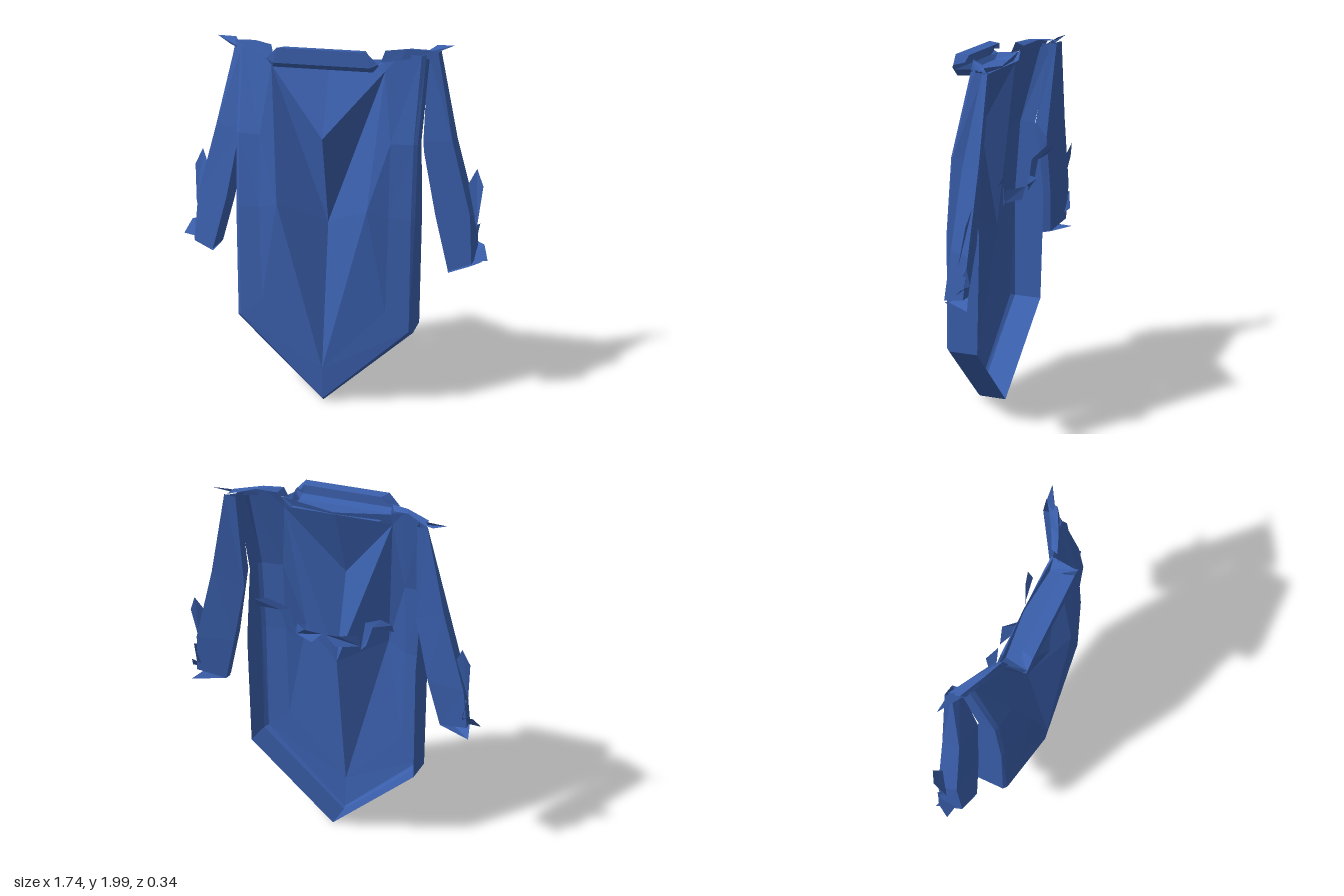
import * as THREE from 'three';

const cloth = new THREE.MeshStandardMaterial({ color: 0x3a5fac });
cloth.name = 'blueCloth';
cloth.flatShading = true;
cloth.side = THREE.DoubleSide;

// Mesh from triangles given as triples of points
function facets(name, tris) {
  const geo = new THREE.BufferGeometry();
  geo.setAttribute('position', new THREE.Float32BufferAttribute(tris.flat(2), 3));
  geo.computeVertexNormals();
  const mesh = new THREE.Mesh(geo, cloth);
  mesh.name = name;
  return mesh;
}

// Triangles of a sheet stretched between neighbouring rails of equal length
function sheet(rails, closed = false) {
  const tris = [];
  const n = closed ? rails.length : rails.length - 1;
  for (let r = 0; r < n; r++) {
    const a = rails[r], b = rails[(r + 1) % rails.length];
    for (let i = 0; i + 1 < a.length; i++) {
      tris.push([a[i], b[i], b[i + 1]], [a[i], b[i + 1], a[i + 1]]);
    }
  }
  return tris;
}

// Fan of triangles over an outline
const fan = (p) => p.slice(2).map((q, i) => [p[0], p[i + 1], q]);

// Mirror triangles in x, keeping the winding
const mirror = (tris) => tris.map((t) => t.map(([x, y, z]) => [-x, y, z]).reverse());

export function createModel() {
  const model = new THREE.Group();
  model.name = 'tabard';
  const addPair = (name, tris) => {
    model.add(facets(name + 'Left', tris), facets(name + 'Right', mirror(tris)));
  };

  // Border: raised rim, bevel and side wall, from the lower tip to the shoulder
  const tip = [0, 0.2, 0.16], hip = [0.35, 0.57, 0.14], waist = [0.36, 1.1, 0.135];
  const side = [0.36, 1.5, 0.11], shoulder = [0.39, 1.96, 0];
  addPair('border', sheet([
    [tip, hip, waist, side, shoulder],
    [[0, 0.015, 0.15], [0.48, 0.46, 0.13], [0.48, 1.1, 0.125], [0.48, 1.5, 0.095], [0.49, 1.95, -0.02]],
    [[0, 0, 0.135], [0.5, 0.45, 0.11], [0.5, 1.1, 0.11], [0.5, 1.5, 0.08], [0.51, 1.95, -0.04]],
    [[0, 0, -0.02], [0.5, 0.45, -0.05], [0.5, 1.1, -0.065], [0.5, 1.5, -0.01], [0.52, 1.95, -0.1]],
  ]));

  // Folded chest panel
  const neck = [0.31, 1.87, 0.04], chest = [0, 1.51, 0.15], hollow = [0, 1.02, 0.03];
  const ridge = [0.25, 1.14, 0.17], top = [0, 1.9, 0], collarEnd = [0.3, 1.93, 0.02];
  addPair('chestPanel', [
    [tip, hip, ridge], [hip, waist, ridge], [waist, side, ridge], [side, neck, ridge],
    [neck, hollow, ridge], [hollow, tip, ridge], [neck, chest, hollow], [neck, top, chest],
    [side, shoulder, neck], [neck, shoulder, collarEnd], [neck, collarEnd, top],
  ]);

  // Collar: floor, front plate and folded lip
  const rail = (xo, yo, zo, xi, yi, zi) =>
    [[-xo, yo, zo], [-xi, yi, zi], [xi, yi, zi], [xo, yo, zo]];
  model.add(facets('collar', sheet([
    rail(0.31, 1.93, 0.01, 0.25, 1.89, 0),
    rail(0.3, 1.92, 0.14, 0.27, 1.885, 0.145),
    rail(0.3, 1.93, 0.16, 0.26, 1.91, 0.167),
    rail(0.29, 1.94, 0.16, 0.24, 1.99, 0.165),
    rail(0.25, 1.95, 0.11, 0.22, 1.985, 0.1),
  ])));

  // Shoulder caps
  addPair('shoulderCap', sheet([
    [[0.29, 1.92, 0.06], [0.39, 1.93, 0.02], [0.53, 1.93, -0.05]],
    [[0.31, 1.98, 0.04], [0.41, 1.985, 0], [0.55, 1.97, -0.07]],
    [[0.33, 1.96, 0], [0.43, 1.98, -0.05], [0.56, 1.96, -0.13]],
  ]));

  // Sleeves: four-sided tubes that widen toward the cuff
  addPair('sleeve', sheet([
    [[0.51, 1.96, -0.09], [0.51, 1.5, -0.01], [0.59, 1.1, 0.02], [0.67, 0.8, 0.04]],
    [[0.56, 1.95, -0.11], [0.66, 1.5, -0.04], [0.77, 1.1, -0.02], [0.79, 0.84, 0.01]],
    [[0.57, 1.96, -0.14], [0.67, 1.5, -0.13], [0.79, 1.08, -0.12], [0.81, 0.86, -0.1]],
    [[0.51, 1.95, -0.13], [0.5, 1.42, -0.08], [0.575, 1.08, -0.08], [0.645, 0.82, -0.06]],
  ], true));

  // Cuff underside
  addPair('cuff', fan([[0.67, 0.79, 0.04], [0.79, 0.83, 0.01], [0.83, 0.81, -0.13], [0.645, 0.82, -0.06]]));

  // Torn flaps on the sleeve and cuff
  addPair('elbowFlap', fan([
    [0.8, 1.02, -0.07], [0.82, 1.24, -0.12], [0.78, 1.33, -0.14], [0.73, 1.23, -0.1],
  ]));
  addPair('cuffFlap', fan([
    [0.76, 0.84, -0.02], [0.87, 0.85, -0.04], [0.84, 0.92, -0.1], [0.79, 0.93, -0.13], [0.81, 1.03, -0.12],
    [0.74, 1.02, -0.04],
  ]));

  // Torn shoulder tips
  model.add(
    facets('shoulderTipRight', fan([[-0.5, 1.93, -0.04], [-0.56, 1.98, -0.12], [-0.67, 1.98, -0.13], [-0.58, 1.94, -0.09]])),
    facets('shoulderTipLeft', fan([[0.5, 1.96, -0.06], [0.55, 1.99, -0.13], [0.64, 1.99, -0.14], [0.56, 1.96, -0.09]])),
  );

  // Loose torn strips hanging behind the back
  addPair('backStripOuter', fan([
    [0.27, 1.34, -0.11], [0.4, 1.35, -0.13], [0.4, 1.4, -0.16], [0.33, 1.41, -0.14], [0.22, 1.35, -0.09],
    [0.19, 1.18, -0.08], [0.23, 1.22, -0.1],
  ]));
  addPair('backStripInner', fan([
    [0.19, 1.2, -0.08], [0.18, 1.27, -0.09], [0.1, 1.28, -0.17], [0.01, 1.26, -0.14], [0.07, 1.2, -0.14],
  ]));

  return model;
}
